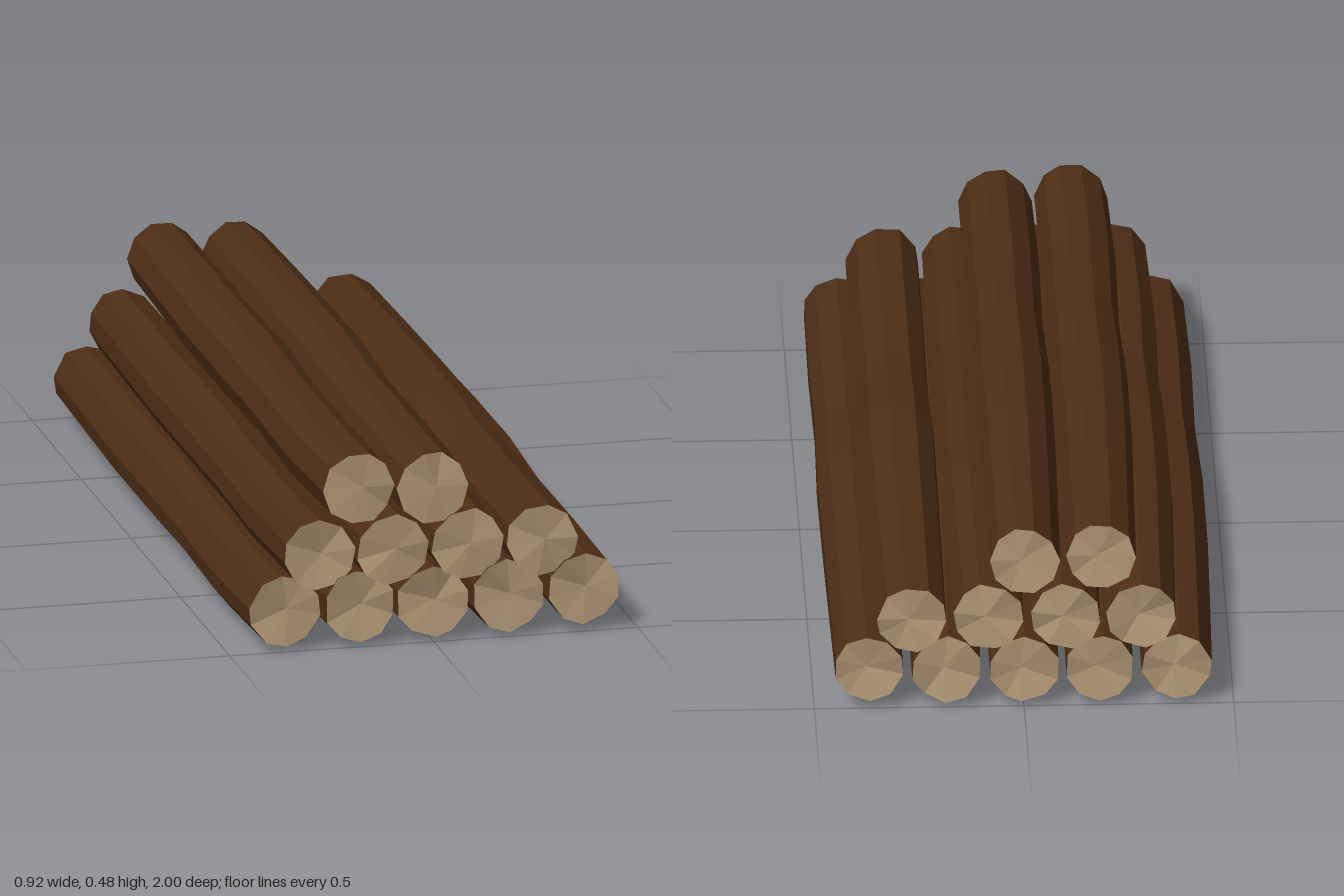
import * as THREE from 'three';

const SIDES = 10, STEP = (Math.PI * 2) / SIDES;

// Cross-sections along a log, front to back: z, radius, share of the bend, sag
const RINGS = [
  [1, 0.088, 0, 0],
  [0.65, 0.090, 0.7, -0.005],
  [0.3, 0.087, 0.5, -0.003],
  [0, 0.093, 0.8, 0.004],
  [-0.35, 0.091, 1, 0.002],
  [-0.65, 0.088, 0.6, 0],
  [-1, 0.084, 0.1, -0.004],
];

// Each log: front centre x, y and bend dx, dy
const LOGS = [
  // bottom row
  [-0.365, 0.102, -0.007, -0.003],
  [-0.18, 0.102, -0.008, -0.005],
  [0, 0.100, -0.008, 0.002],
  [0.185, 0.102, -0.009, -0.002],
  [0.37, 0.107, 0.001, 0.006],
  // middle row
  [-0.28, 0.235, -0.009, 0],
  [-0.1, 0.237, -0.006, 0.005],
  [0.085, 0.237, 0.002, 0.01],
  [0.267, 0.235, 0.002, -0.001],
  // top row
  [-0.182, 0.395, -0.008, -0.003],
  [0, 0.383, -0.004, 0.009],
];

function seeded(seed) {
  let s = seed * 7919 + 17;
  return () => (s = (s * 16807) % 2147483647) / 2147483647;
}

function createLog([cx, cy, dx, dy], index, bark, wood) {
  const rand = seeded(index + 1);
  for (let i = 0; i < 5; i++) rand();
  const list = (n, fn) => Array.from({ length: n }, fn);
  const roll = (rand() - 0.5) * STEP;
  const swell = list(SIDES, () => 0.97 + rand() * 0.06);
  const turn = list(SIDES, () => roll + (rand() - 0.5) * 0.16);
  const chip = list(2, () => list(SIDES, (_, k) => (k % 3 ? rand() * 0.012 : 0)));
  const dent = list(2, () => 0.004 + rand() * 0.012);

  // Bend a straight unit log: every vertex follows its ring and its side
  const shape = (geometry) => {
    const p = geometry.attributes.position;
    for (let i = 0; i < p.count; i++) {
      const x = p.getX(i), y = p.getY(i), z = p.getZ(i);
      const ringNo = Math.round((1 - z) * 3);
      const [rz, radius, bend, sag] = RINGS[ringNo];
      const k = (Math.round((Math.atan2(y, x) + Math.PI / 2) / STEP) + SIDES) % SIDES;
      const isCentre = Math.hypot(x, y) < 0.5;
      const r = isCentre ? 0.008 : radius * swell[k];
      const a = k * STEP - Math.PI / 2 + turn[k];
      const end = z > 0 ? 0 : 1;
      const atEnd = ringNo === 0 || ringNo === 6;
      const inset = atEnd ? (isCentre ? dent[end] : chip[end][k]) : 0;
      p.setXYZ(i,
        cx + dx * bend + r * Math.cos(a),
        cy + dy * bend + sag + r * Math.sin(a),
        rz - Math.sign(rz) * inset);
    }
    geometry.computeVertexNormals();
    return geometry;
  };

  const log = new THREE.Group();
  log.name = `log${index + 1}`;
  const add = (name, geometry, material) => {
    const mesh = new THREE.Mesh(shape(geometry), material);
    mesh.name = name;
    log.add(mesh);
  };
  // Bark tube and the two sawn ends
  add('bark', new THREE.CylinderGeometry(1, 1, 2, SIDES, 6, true).rotateX(Math.PI / 2), bark);
  const disc = () => new THREE.CircleGeometry(1, SIDES, -Math.PI / 2);
  add('frontCut', disc().translate(0, 0, 1), wood);
  add('backCut', disc().rotateY(Math.PI).translate(0, 0, -1), wood);
  return log;
}

export function createModel() {
  const bark = new THREE.MeshStandardMaterial({ color: 0x4e2e16, flatShading: true });
  const wood = new THREE.MeshStandardMaterial({ color: 0xb59a78, flatShading: true });
  const pile = new THREE.Group();
  pile.name = 'logPile';
  LOGS.forEach((spec, i) => pile.add(createLog(spec, i, bark, wood)));
  return pile;
}
